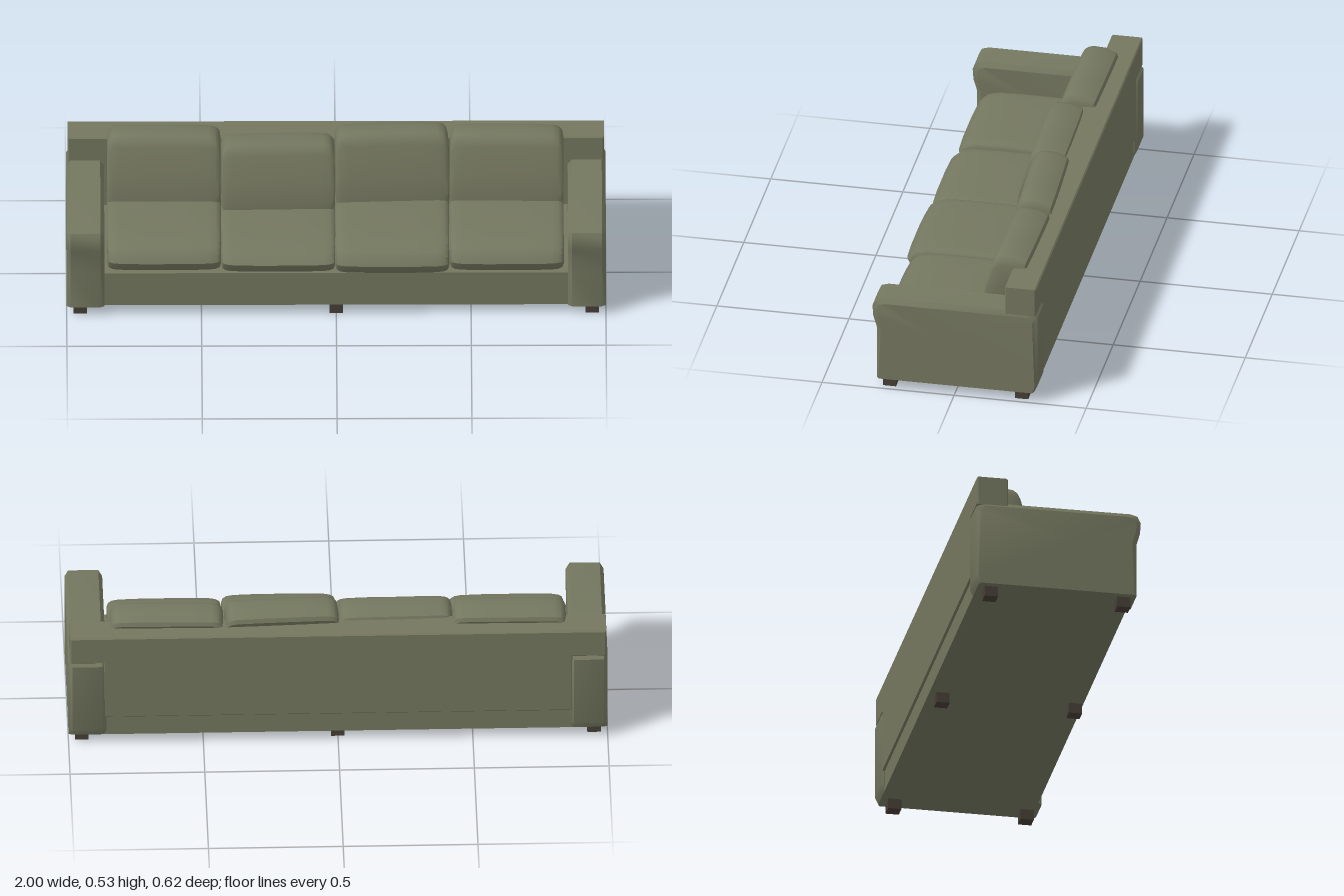
import * as THREE from 'three';
import { toCreasedNormals } from 'three/addons/utils/BufferGeometryUtils.js';

// Closed loft along x; each ring is { x, pts: [[z, y], ...] } running counterclockwise seen from +x.
function loft(rings, crease = 0.6) {
  const n = rings[0].pts.length, pos = [], index = [];
  for (const r of rings) for (const [z, y] of r.pts) pos.push(r.x, y, z);
  for (let k = 0; k < rings.length - 1; k++) {
    for (let i = 0; i < n; i++) {
      const j = (i + 1) % n, a = k * n, b = a + n;
      index.push(a + i, a + j, b + j, a + i, b + j, b + i);
    }
  }
  // end caps as fans round their middle
  [0, rings.length - 1].forEach((k, end) => {
    const { x, pts } = rings[k], c = pos.length / 3;
    const mid = (d) => pts.reduce((s, p) => s + p[d], 0) / n;
    pos.push(x, mid(1), mid(0));
    for (let i = 0; i < n; i++) {
      const p = k * n + i, q = k * n + (i + 1) % n;
      index.push(c, end ? p : q, end ? q : p);
    }
  });
  const g = new THREE.BufferGeometry();
  g.setAttribute('position', new THREE.Float32BufferAttribute(pos, 3));
  g.setIndex(index);
  return toCreasedNormals(g, crease);
}

// Cushion: a side profile that shrinks softly towards both ends.
function cushion(profile, width, cz, cy) {
  const ends = [[1, 0.72, 0.86], [0.975, 0.86, 0.93], [0.91, 0.95, 0.965], [0.8, 0.985, 0.985], [0.4, 1, 1]];
  const rings = [];
  const add = (u, sy, sz) => rings.push({
    x: u * width / 2,
    pts: profile.map(([z, y]) => [cz + (z - cz) * sz, cy + (y - cy) * sy]),
  });
  ends.forEach(([u, sy, sz]) => add(-u, sy, sz));
  [...ends].reverse().forEach(([u, sy, sz]) => add(u, sy, sz));
  return loft(rings, 0.7);
}

export function createModel() {
  const fabric = new THREE.MeshStandardMaterial({ color: 0x74775f });
  fabric.name = 'olive fabric';
  const wood = new THREE.MeshStandardMaterial({ color: 0x463e36 });
  wood.name = 'dark wood';

  const sofa = new THREE.Group();
  sofa.name = 'sofa';
  const add = (name, geometry, material, x = 0, y = 0, z = 0) => {
    const m = new THREE.Mesh(geometry, material);
    m.name = name;
    m.position.set(x, y, z);
    sofa.add(m);
    return m;
  };

  // Seat base
  add('seatBase', new THREE.BoxGeometry(1.74, 0.14, 0.58), fabric, 0, 0.11, -0.01);

  // Backrest: T-shaped, its wide top resting over the arms
  const t = new THREE.Shape();
  [[-0.87, 0.12], [0.87, 0.12], [0.87, 0.362], [0.995, 0.362], [0.995, 0.475],
    [-0.995, 0.475], [-0.995, 0.362], [-0.87, 0.362]]
    .forEach(([x, y], i) => (i ? t.lineTo(x, y) : t.moveTo(x, y)));
  const back = new THREE.ExtrudeGeometry(t, {
    depth: 0.108, bevelEnabled: true, bevelThickness: 0.005,
    bevelSize: 0.005, bevelOffset: -0.005, bevelSegments: 1,
  });
  add('backrest', back, fabric, 0, 0, -0.303);

  // Arms with a rolled front and bevelled sides
  const full = [[0.295, 0.04], [-0.3, 0.04], [-0.312, 0.065], [-0.312, 0.35], [-0.29, 0.375],
    [0.272, 0.375], [0.3, 0.367], [0.312, 0.34], [0.309, 0.298], [0.295, 0.25], [0.295, 0.19]];
  const side = [[0.286, 0.04], [-0.294, 0.04], [-0.304, 0.065], [-0.295, 0.335], [-0.277, 0.357],
    [0.262, 0.357], [0.283, 0.352], [0.294, 0.334], [0.291, 0.298], [0.277, 0.25], [0.28, 0.19]];
  for (const s of [-1, 1]) {
    const rings = [[-0.07, side], [-0.056, full], [0.056, full], [0.07, side]]
      .map(([x, pts]) => ({ x, pts }));
    add(s > 0 ? 'leftArm' : 'rightArm', loft(rings), fabric, s * 0.93);
  }

  // Seat cushions: centre x, front z, top y
  [[-0.638, 0.285, 0.28], [-0.215, 0.297, 0.266], [0.208, 0.307, 0.281], [0.633, 0.29, 0.28]]
    .forEach(([x, f, top], i) => {
      const profile = [[f - 0.03, 0.176], [-0.19, 0.176], [-0.19, top - 0.012], [-0.05, top - 0.002],
        [0.12, top], [f - 0.07, top - 0.004], [f - 0.035, top - 0.014], [f - 0.014, top - 0.03],
        [f, 0.223], [f - 0.012, 0.198]];
      add('seatCushion' + (i + 1), cushion(profile, 0.422, 0.05, 0.222), fabric, x);
    });

  // Back cushions, leaning: centre x, top y, forward shift, turn
  [[-0.638, 0.52, 0, -0.01], [-0.215, 0.505, 0.037, 0.02], [0.208, 0.531, 0.004, 0.045], [0.633, 0.521, 0, -0.015]]
    .forEach(([x, top, dz, turn], i) => {
      const profile = [[0.078, -0.08], [-0.04, -0.08], [-0.07, 0.7], [-0.085, 0.86], [-0.078, 0.92],
        [-0.035, 0.99], [0.01, 1], [0.03, 0.985], [0.045, 0.94], [0.054, 0.85], [0.074, 0.4], [0.084, 0.1]]
        .map(([z, v]) => [z - 0.025 * v, 0.26 + (top - 0.26) * v]);
      const c = cushion(profile, 0.42, 0, 0.37);
      add('backCushion' + (i + 1), c, fabric, x, 0, dz - 0.143).rotation.y = turn;
    });

  // Block feet
  for (const x of [-0.95, 0, 0.95]) {
    for (const z of [-0.25, 0.25]) add('foot', new THREE.BoxGeometry(0.05, 0.042, 0.05), wood, x, 0.021, z);
  }
  return sofa;
}
